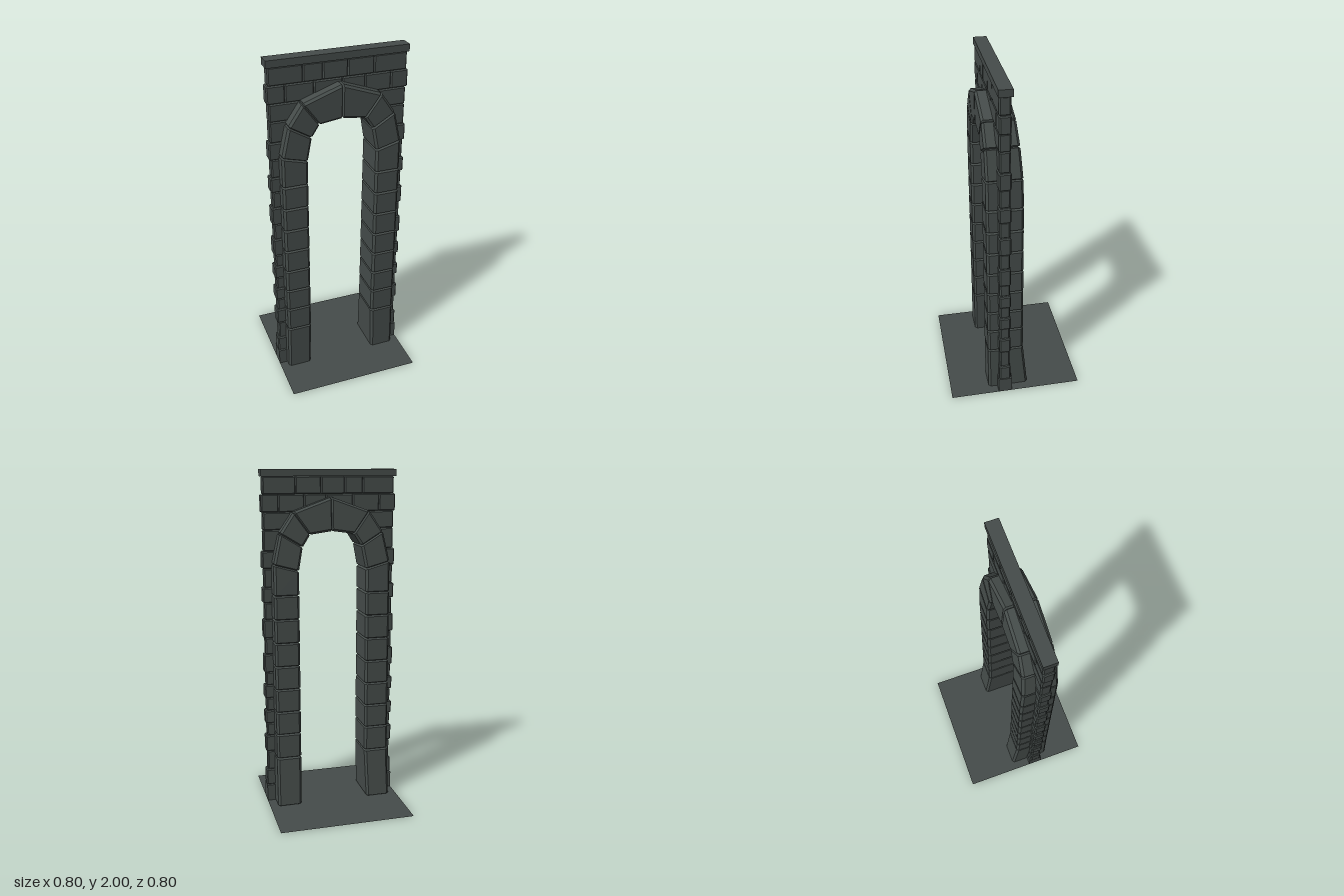
import * as THREE from 'three';
import { ConvexGeometry } from 'three/addons/geometries/ConvexGeometry.js';

const stone = new THREE.MeshStandardMaterial({ color: 0x454c4a });
stone.name = 'dark grey stone';
const groundStone = stone.clone();
groundStone.name = 'dark grey ground';
groundStone.side = THREE.DoubleSide;

// Depth of the arch's back face, which leans forward with height
const lean = [[0, -0.083], [0.3, -0.053], [1.4, -0.045], [1.85, -0.016]];
function backZ(y) {
  for (let i = 1; i < lean.length; i++) {
    const [y0, z0] = lean[i - 1], [y1, z1] = lean[i];
    if (y <= y1) return z0 + (z1 - z0) * (y - y0) / (y1 - y0);
  }
  return lean[lean.length - 1][1];
}

// Chamfered stone: start and end are [inner, outer] point pairs in x, y
function chamferedBlock(start, end, zFront, zBack, bevel) {
  const rows = [start, end];
  const corner = (a, l, d) => {
    const [x, y] = rows[l][a];
    return new THREE.Vector3(x, y, d ? zBack(y) : zFront);
  };
  const points = [];
  for (const a of [0, 1]) for (const l of [0, 1]) for (const d of [0, 1]) {
    const c = corner(a, l, d);
    const steps = [corner(1 - a, l, d), corner(a, 1 - l, d), corner(a, l, 1 - d)]
      .map((n, i) => n.sub(c).normalize().multiplyScalar(bevel[i]));
    for (let skip = 0; skip < 3; skip++) {
      const p = c.clone();
      steps.forEach((s, i) => { if (i !== skip) p.add(s); });
      points.push(p);
    }
  }
  return new ConvexGeometry(points);
}

export function createModel() {
  const model = new THREE.Group();
  model.name = 'stoneArchway';
  const add = (name, geometry, material = stone) => {
    const mesh = new THREE.Mesh(geometry, material);
    mesh.name = name;
    model.add(mesh);
    return mesh;
  };
  const box = (name, x0, x1, y0, y1, z0, z1) =>
    add(name, new THREE.BoxGeometry(x1 - x0, y1 - y0, z1 - z0))
      .position.set((x0 + x1) / 2, (y0 + y1) / 2, (z0 + z1) / 2);

  // Ground sheet
  add('ground', new THREE.PlaneGeometry(0.8, 0.8).rotateX(-Math.PI / 2), groundStone);

  // Joints of one half of the arch, from foot to crown
  const joints = [[[0.208, 0], [0.352, 0]]];
  for (const y of [0.3, 0.45, 0.59, 0.73, 0.87, 1.01, 1.15, 1.29])
    joints.push([[0.2, y], [0.348, y]]);
  joints.push(
    [[0.2, 1.43], [0.347, 1.47]],
    [[0.175, 1.565], [0.307, 1.645]],
    [[0.13, 1.635], [0.225, 1.765]],
    [[0, 1.653], [0, 1.845]]);

  for (const side of [1, -1]) {
    const name = side > 0 ? 'left' : 'right';
    const flip = (joint) => joint.map(([x, y]) => [x * side, y]);
    for (let i = 1; i < joints.length; i++)
      add(name + (i < 10 ? 'PierStone' : 'ArchStone'), chamferedBlock(
        flip(joints[i - 1]), flip(joints[i]), 0.163, backZ, [0.013, 0.007, 0.013]));

    // Stacked wall bricks beside the pier, with a toothed outer edge
    const rows = [0.1, 0.2, 0.32, 0.42, 0.5, 0.58, 0.66, 0.74, 0.82, 0.93, 1.03,
      1.14, 1.24, 1.33, 1.44, 1.54, 1.66];
    for (let i = 1; i < rows.length; i++) {
      const outer = (i % 2 ? 0.4 : 0.39) * side, inner = 0.27 * side;
      add(name + 'WallBrick', chamferedBlock(
        [[inner, rows[i - 1]], [outer, rows[i - 1]]], [[inner, rows[i]], [outer, rows[i]]],
        i % 2 ? 0.102 : 0.098, () => (i % 2 ? 0.034 : 0.038), [0.006, 0.006, 0.008]));
    }
    // Wall foot
    box(name + 'WallFoot', side > 0 ? 0.27 : -0.4, side > 0 ? 0.4 : -0.27, 0, 0.1, 0.025, 0.108);
  }

  // Brick courses over the arch
  const courses = [
    [1.66, 1.76, [-0.39, -0.21, 0, 0.23, 0.39]],
    [1.76, 1.86, [-0.4, -0.3, -0.14, 0.02, 0.15, 0.3, 0.4]],
    [1.86, 1.96, [-0.39, -0.2, -0.09, 0.05, 0.2, 0.39]],
  ];
  for (const [y0, y1, xs] of courses)
    for (let i = 1; i < xs.length; i++)
      add('upperWallBrick', chamferedBlock(
        [[xs[i - 1], y0], [xs[i], y0]], [[xs[i - 1], y1], [xs[i], y1]],
        0.1, () => 0.036, [0.006, 0.006, 0.008]));

  // Recessed wall core behind the bricks, open under the arch
  const core = new THREE.Shape([
    [-0.38, 0], [-0.27, 0], [-0.27, 1.5], [-0.2, 1.68], [0, 1.74], [0.2, 1.68],
    [0.27, 1.5], [0.27, 0], [0.38, 0], [0.38, 1.96], [-0.38, 1.96],
  ].map(([x, y]) => new THREE.Vector2(x, y)));
  add('wallCore', new THREE.ExtrudeGeometry(core, { depth: 0.04, bevelEnabled: false })
    .translate(0, 0, 0.048));

  // Coping along the top
  box('coping', -0.4, 0.4, 1.96, 2, 0.028, 0.104);

  return model;
}
